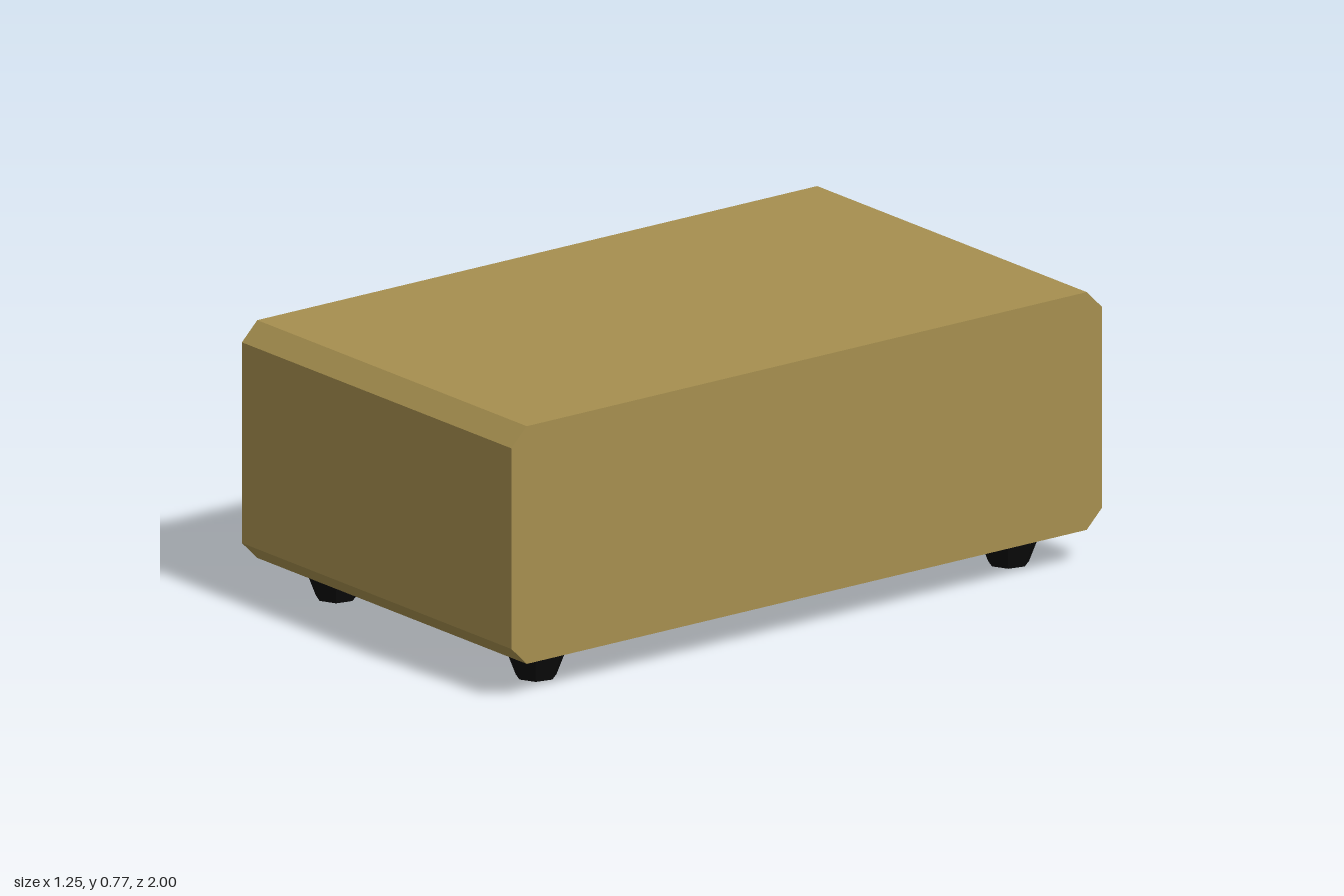
import * as THREE from 'three';

const LEFT = 0.62, RIGHT = -0.55, RECESS = 0.105;
const WINDOW = { z: 0.777, bottom: 0.45, top: 0.68 };

// Side outline of the case with its four chamfered edges
function caseOutline() {
  const z = 1, bottom = 0.1, top = 0.767, c = 0.052;
  return new THREE.Shape([
    [-z + c, bottom], [z - c, bottom], [z, bottom + c], [z, top - c],
    [z - c, top], [-z + c, top], [-z, top - c], [-z, bottom + c],
  ].map(([a, b]) => new THREE.Vector2(a, b)));
}

// Extrudes a side outline across the width, from x0 to x1
function extrudeAcross(shape, x0, x1) {
  const g = new THREE.ExtrudeGeometry(shape, { depth: x1 - x0, bevelEnabled: false });
  return g.rotateY(Math.PI / 2).translate(x0, 0, 0);
}

export function createModel() {
  const model = new THREE.Group();
  model.name = 'radio';
  const brass = new THREE.MeshStandardMaterial({ color: 0xa68f4f });
  brass.name = 'ochre case';
  const black = new THREE.MeshStandardMaterial({ color: 0x0b0b0b, flatShading: true });
  black.name = 'black';

  const add = (name, geometry, material, x = 0, y = 0, z = 0) => {
    const mesh = new THREE.Mesh(geometry, material);
    mesh.name = name;
    mesh.position.set(x, y, z);
    model.add(mesh);
    return mesh;
  };

  // Solid case
  add('caseBody', extrudeAcross(caseOutline(), RIGHT + RECESS, LEFT), brass);

  // Control panel with the long dial opening
  const panel = caseOutline();
  const { z, bottom, top } = WINDOW;
  panel.holes.push(new THREE.Path([
    [-z, bottom], [-z, top], [z, top], [z, bottom],
  ].map(([a, b]) => new THREE.Vector2(a, b))));
  add('controlPanel', extrudeAcross(panel, RIGHT, RIGHT + RECESS), brass);

  // Bowed dark dial set back in the opening
  const back = RIGHT + RECESS;
  const dial = new THREE.Shape();
  dial.moveTo(back, -z);
  dial.lineTo(back, z);
  dial.quadraticCurveTo(back - 0.09, 0, back, -z);
  const dialGeometry = new THREE.ExtrudeGeometry(dial, {
    depth: top - bottom, bevelEnabled: false, curveSegments: 16,
  });
  add('dial', dialGeometry.rotateX(-Math.PI / 2), black, 0, bottom, 0);
  add('dialBacking', new THREE.BoxGeometry(0.006, top - bottom, z * 2), black,
    back, (top + bottom) / 2, 0);

  // Two control knobs
  for (const kz of [0.428, 0.714]) {
    const g = new THREE.CylinderGeometry(0.077, 0.077, 0.085, 7).rotateZ(Math.PI / 2);
    add('knob', g, black, RIGHT - 0.0325, 0.295, kz);
  }

  // Four tapered feet
  for (const x of [-0.397, 0.47]) {
    for (const fz of [-0.8, 0.8]) {
      add('foot', new THREE.CylinderGeometry(0.096, 0.056, 0.1, 7), black, x, 0.05, fz);
    }
  }
  return model;
}
